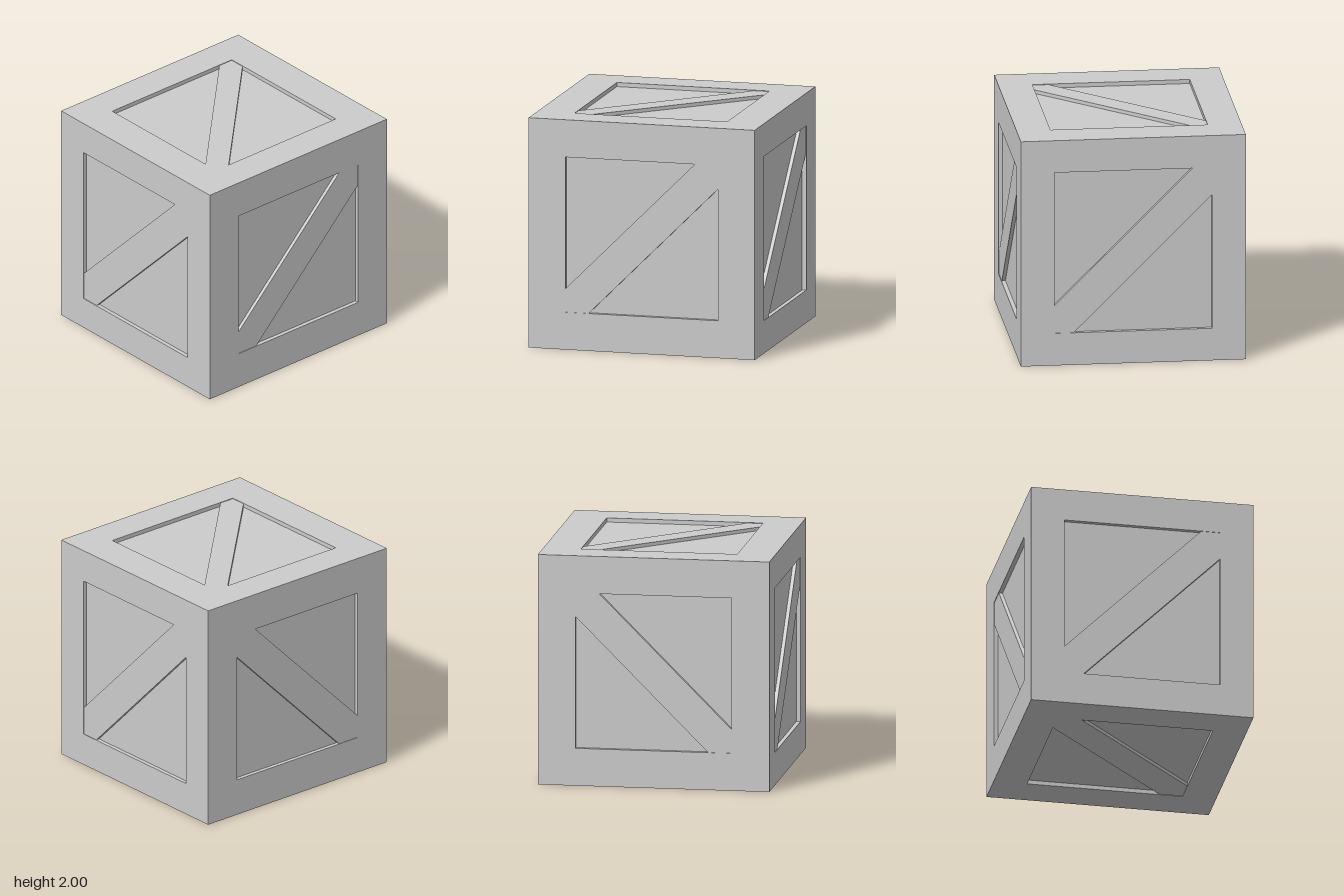
import * as THREE from 'three';

const W = 2, H = 2, D = 1.93;      // crate size
const DEPTH = 0.036;               // how far the panels sit behind the frames
const BRACE_INSET = 0.005;         // braces sit just behind the frames

const material = new THREE.MeshStandardMaterial({ color: 0xcccccc, flatShading: true });

function polygon(points) {
  return new THREE.Shape(points.map(([x, y]) => new THREE.Vector2(x, y)));
}

function rectangle(a, b) {
  return [[-a, -b], [a, -b], [a, b], [-a, b]];
}

function addMesh(parent, name, geometry) {
  const mesh = new THREE.Mesh(geometry, material);
  mesh.name = name;
  parent.add(mesh);
  return mesh;
}

// Rectangular frame, its outer rim mitred so neighbouring frames meet cleanly
function frameGeometry(w, h, a, b) {
  const shape = polygon(rectangle(w / 2, h / 2));
  shape.holes.push(polygon(rectangle(a, b)));
  const geometry = new THREE.ExtrudeGeometry(shape, { depth: DEPTH, bevelEnabled: false });
  geometry.translate(0, 0, -DEPTH);
  const p = geometry.attributes.position;
  for (let i = 0; i < p.count; i++) {
    if (p.getZ(i) > -DEPTH / 2) continue;
    const x = p.getX(i), y = p.getY(i);
    if (Math.abs(x) > a + 0.01) p.setX(i, x - Math.sign(x) * DEPTH);
    if (Math.abs(y) > b + 0.01) p.setY(i, y - Math.sign(y) * DEPTH);
  }
  geometry.computeVertexNormals();
  return geometry;
}

// 45 degree brace that fills two opposite corners of the opening
function braceGeometry(a, b, g, flip) {
  const s = flip ? -1 : 1;
  const outline = [[-a, -b], [g - b, -b], [a, a - g], [a, b], [b - g, b], [-a, g - a]];
  const geometry = new THREE.ExtrudeGeometry(
    polygon(outline.map(([x, y]) => [s * x, y])),
    { depth: DEPTH - BRACE_INSET, bevelEnabled: false });
  return geometry.translate(0, 0, -DEPTH);
}

export function createModel() {
  const crate = new THREE.Group();
  crate.name = 'crate';

  // Inner box forms the recessed panels
  addMesh(crate, 'panels', new THREE.BoxGeometry(W - 2 * DEPTH, H - 2 * DEPTH, D - 2 * DEPTH))
    .position.y = H / 2;

  // w, h: face size; a, b: half opening; g: brace offset; out: distance from centre
  const q = Math.PI / 2;
  const sides = [
    { name: 'front', w: W, h: H, a: 0.675, b: 0.675, g: 0.205, out: D / 2, rx: 0, ry: 0 },
    { name: 'back', w: W, h: H, a: 0.675, b: 0.675, g: 0.205, out: D / 2, rx: 0, ry: 2 * q, flip: true },
    { name: 'left', w: D, h: H, a: 0.675, b: 0.715, g: 0.205, out: W / 2, rx: 0, ry: q },
    { name: 'right', w: D, h: H, a: 0.675, b: 0.715, g: 0.205, out: W / 2, rx: 0, ry: -q },
    { name: 'top', w: W, h: D, a: 0.675, b: 0.675, g: 0.14, out: H / 2, rx: -q, ry: 0 },
    { name: 'bottom', w: W, h: D, a: 0.675, b: 0.675, g: 0.205, out: H / 2, rx: q, ry: 0 },
  ];

  for (const { name, w, h, a, b, g, out, rx, ry, flip } of sides) {
    const side = new THREE.Group();
    side.name = name + 'Side';
    addMesh(side, name + 'Frame', frameGeometry(w, h, a, b));
    addMesh(side, name + 'Brace', braceGeometry(a, b, g, flip));
    side.rotation.set(rx, ry, 0);
    side.position.set(0, 0, out).applyEuler(side.rotation);
    side.position.y += H / 2;
    crate.add(side);
  }
  return crate;
}
